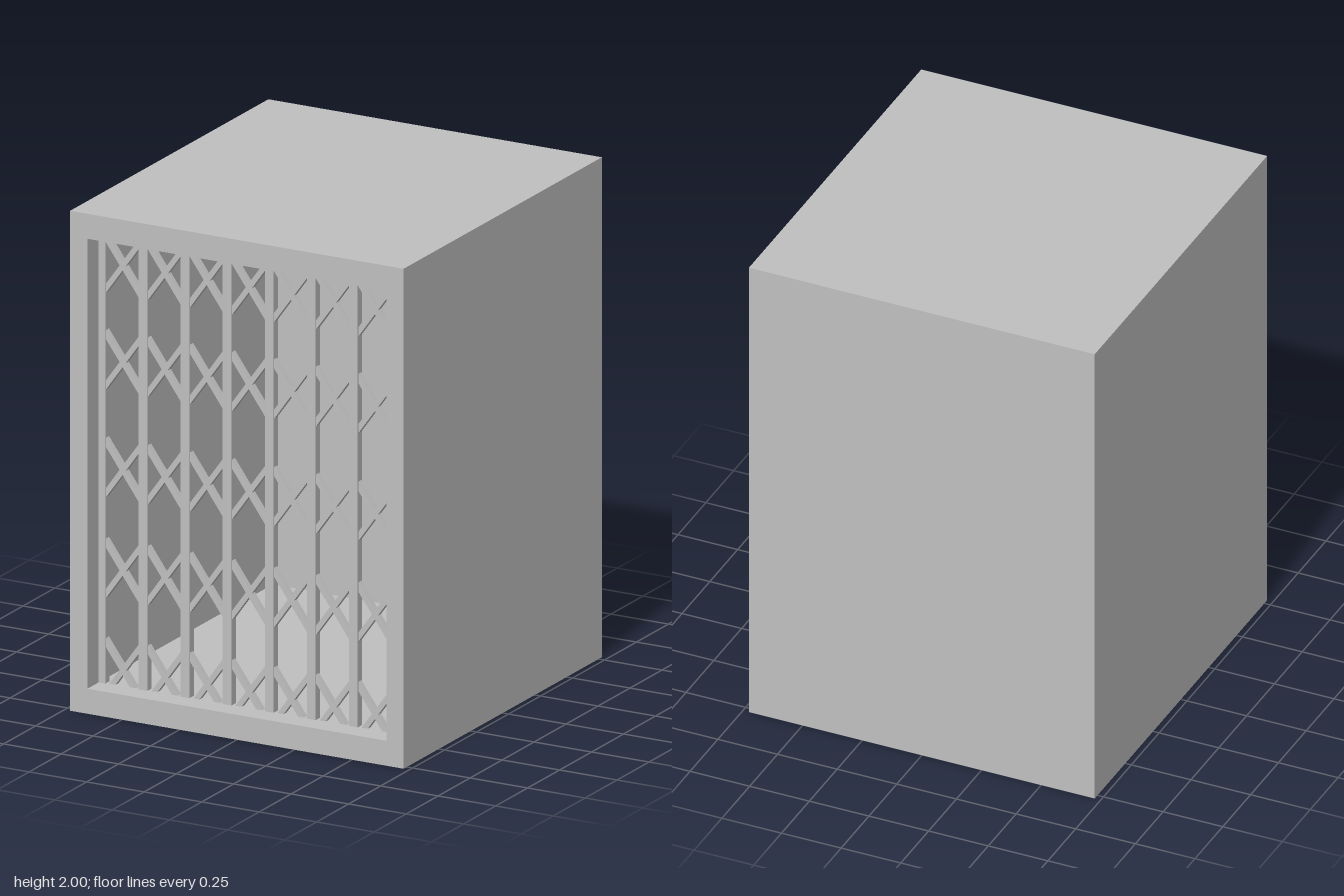
import * as THREE from 'three';

export function createModel() {
  const model = new THREE.Group();
  const grey = new THREE.MeshStandardMaterial({ color: 0xc0c0c0 });
  grey.name = 'plain grey';

  const W = 1.45, H = 2, D = 1.55;            // outer size
  const side = 0.075, slab = 0.1, back = 0.1; // wall thicknesses

  // Shell: a rectangular tube with a closed back
  const rect = (shape, w, y0, y1) => {
    shape.moveTo(-w, y0).lineTo(w, y0).lineTo(w, y1).lineTo(-w, y1).closePath();
    return shape;
  };
  const outline = rect(new THREE.Shape(), W / 2, 0, H);
  outline.holes.push(rect(new THREE.Path(), W / 2 - side, slab, H - slab));
  const tube = new THREE.Mesh(
    new THREE.ExtrudeGeometry(outline, { depth: D - back, bevelEnabled: false }), grey);
  tube.position.z = -D / 2 + back;
  tube.name = 'shell';
  model.add(tube);

  const backWall = new THREE.Mesh(new THREE.BoxGeometry(W, H, back), grey);
  backWall.position.set(0, H / 2, -D / 2 + back / 2);
  backWall.name = 'backWall';
  model.add(backWall);

  // Folding gate: upright bars joined by rows of crossed slats
  const gate = new THREE.Group();
  gate.name = 'gate';
  gate.position.z = 0.67;
  model.add(gate);

  const pitch = 0.1828, barWidth = 0.038, bars = 8;
  const barGeo = new THREE.BoxGeometry(barWidth, H - 2 * slab + 0.02, 0.034);
  for (let i = 0; i < bars; i++) {
    const bar = new THREE.Mesh(barGeo, grey);
    bar.name = 'gateBar';
    bar.position.set((i - (bars - 1) / 2) * pitch, H / 2, 0);
    gate.add(bar);
  }

  const rise = 0.254; // height of one cross, from bar centre to bar centre
  const slatGeo = new THREE.BoxGeometry(Math.hypot(pitch, rise), 0.0215, 0.024);
  const angle = Math.atan2(rise, pitch);
  for (const y of [0.162, 0.56, 0.963, 1.394, 1.781]) {
    for (let i = 0; i < bars - 1; i++) {
      for (const s of [-1, 1]) {
        const slat = new THREE.Mesh(slatGeo, grey);
        slat.name = 'gateSlat';
        slat.position.set((i - (bars - 2) / 2) * pitch, y, 0);
        slat.rotation.z = s * angle;
        gate.add(slat);
      }
    }
  }
  return model;
}
